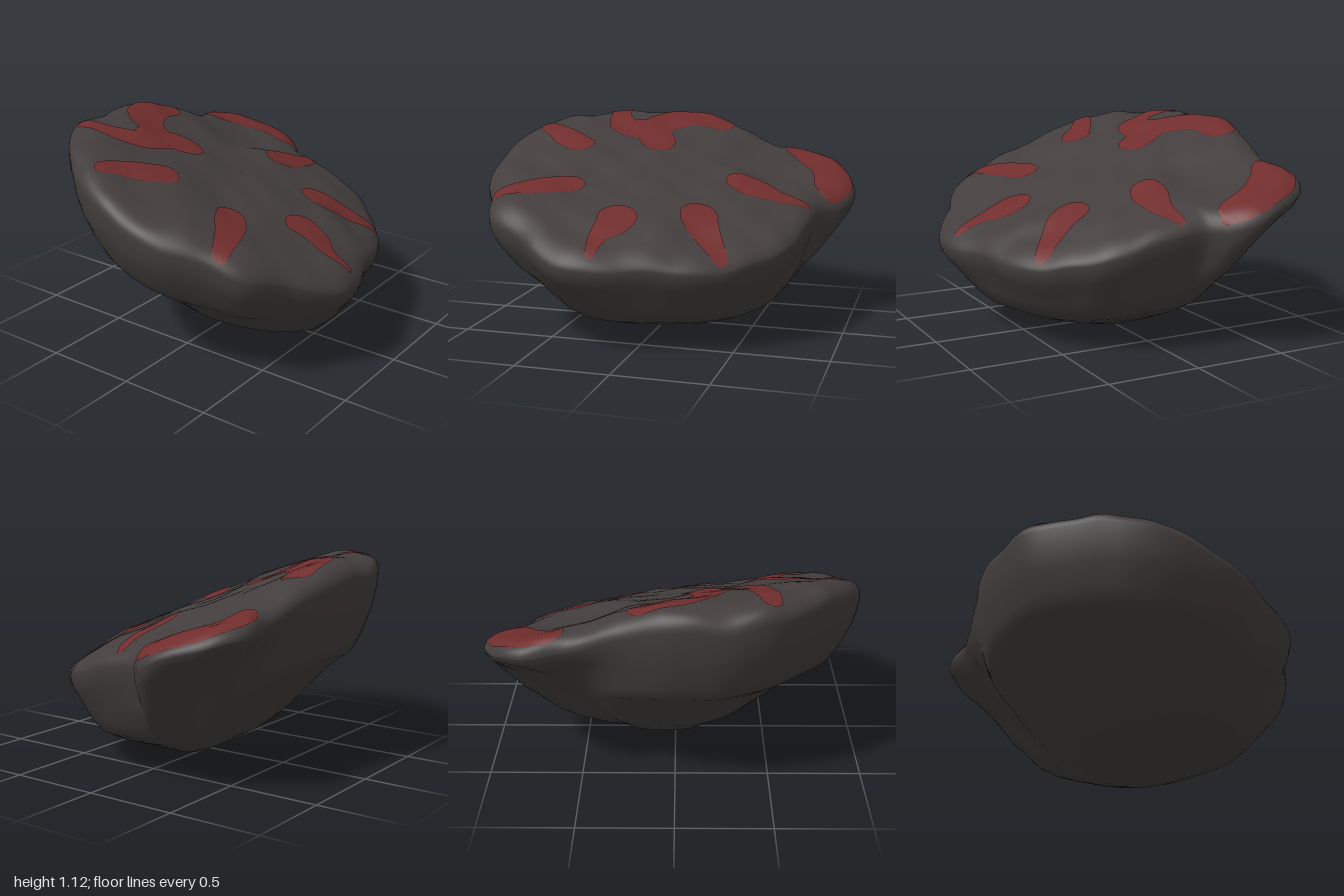
import * as THREE from 'three';

const rockMat = new THREE.MeshStandardMaterial({ color: 0x433e3d });
rockMat.name = 'charcoal stone';
const markMat = new THREE.MeshStandardMaterial({ color: 0x712d2d, side: THREE.DoubleSide });
markMat.name = 'dull red';

// Rim outline seen from above (x, z)
const OUTLINE = [
  [-0.18, -0.86], [0.03, -0.85], [0.23, -0.8], [0.56, -0.74], [0.75, -0.76], [0.88, -0.68], [0.95, -0.56],
  [1, -0.36], [0.94, -0.24], [0.85, -0.16], [0.81, 0.08], [0.74, 0.34], [0.62, 0.48], [0.47, 0.62],
  [0.32, 0.7], [0.05, 0.77], [-0.13, 0.84], [-0.31, 0.855], [-0.47, 0.79], [-0.59, 0.7], [-0.8, 0.59],
  [-0.88, 0.4], [-0.98, 0.2], [-1, -0.02], [-0.97, -0.21], [-0.89, -0.38], [-0.74, -0.57], [-0.51, -0.78], [-0.37, -0.835],
];

// Height samples of the sloping face before its edge is rounded (x, z, y)
const HEIGHTS = [
  [-0.1, 0.4, 0.72], [-0.18, 0.8, 0.54], [0.2, 0.25, 0.73], [0.48, 0.6, 0.51], [0.4, 0, 0.79], [0.78, 0, 0.71],
  [-0.8, 0.47, 0.77], [-0.4, 0.25, 0.78], [-0.6, 0.37, 0.81], [-0.8, -0.25, 1.04], [-0.5, -0.05, 0.95],
  [-0.15, -0.25, 0.96], [-0.45, -0.7, 1.14], [0, -0.7, 1.11], [0.2, -0.68, 1.09], [-0.2, -0.5, 1.07],
  [0, -0.5, 1.03], [0.2, -0.5, 0.98], [0.1, -0.82, 1.09], [-0.3, -0.82, 1.12],
  [0.4, -0.72, 1.0], [0.6, -0.65, 0.89], [0.75, -0.68, 0.9], [0.9, -0.6, 0.89], [0.97, -0.4, 0.82],
  [0.72, -0.42, 0.81], [0.9, -0.25, 0.73], [0.5, -0.4, 0.86], [-0.93, 0.05, 0.92], [0, 0, 0.84], [-0.15, 0.18, 0.81],
];

// Rim radius for 720 directions, from a smooth closed curve
const STEPS = 720, TAU = Math.PI * 2;
const radii = (() => {
  const curve = new THREE.CatmullRomCurve3(OUTLINE.map(([x, z]) => new THREE.Vector3(x, 0, z)), true);
  const polar = curve.getPoints(900).slice(0, -1)
    .map(p => [(Math.atan2(p.z, p.x) + TAU) % TAU, Math.hypot(p.x, p.z)])
    .sort((a, b) => a[0] - b[0]);
  const out = [];
  for (let i = 0, k = 0; i < STEPS; i++) {
    while (k < polar.length - 1 && polar[k][0] < (i / STEPS) * TAU) k++;
    out.push(polar[k][1]);
  }
  return out;
})();

function rimRadius(angle) {
  const t = (((angle + TAU) % TAU) / TAU) * STEPS, i = Math.floor(t);
  return THREE.MathUtils.lerp(radii[i % STEPS], radii[(i + 1) % STEPS], t - i);
}

// Height of the face: tilted plane, local bumps, small ripples and a rounded edge
function faceY(x, z) {
  let sum = 0, weight = 0.04;
  for (const [px, pz, py] of HEIGHTS) {
    const w = Math.exp(-((x - px) ** 2 + (z - pz) ** 2) / 0.035);
    sum += w * (py - (0.85 - 0.15 * px - 0.4 * pz));
    weight += w;
  }
  const ripple = 0.007 * Math.sin(11 * x + 4 * z + 1) * Math.sin(10 * z - 3 * x)
    + 0.005 * Math.sin(19 * x - 8 * z) * Math.cos(17 * z + 5 * x);
  const angle = Math.atan2(z, x), sin = Math.sin(angle);
  const rho = Math.hypot(x, z) / rimRadius(angle);
  const start = 0.82 + 0.04 * sin;
  const t = THREE.MathUtils.clamp((rho - start) / (1 - start), 0, 1);
  const drop = (0.1 - 0.04 * sin - 0.015 * Math.cos(angle)) * (1 - Math.sqrt(1 - t * t));
  return 0.85 - 0.15 * x - 0.4 * z + sum / weight + ripple - drop;
}

function rimY(angle) {
  const r = rimRadius(angle);
  return faceY(r * Math.cos(angle), r * Math.sin(angle));
}

// Average of a rim function over neighbouring directions
function softened(fn, angle) {
  let sum = 0;
  for (let k = -6; k <= 6; k++) sum += fn(angle + k * 0.05);
  return sum / 13;
}

// Builds a surface from a grid of points
function gridGeometry(rows, cols, closed, point) {
  const pos = [], idx = [], n = closed ? cols : cols + 1;
  for (let i = 0; i <= rows; i++) for (let j = 0; j < n; j++) pos.push(...point(i, j));
  for (let i = 0; i < rows; i++) for (let j = 0; j < cols; j++) {
    const a = i * n + j, b = i * n + ((j + 1) % n), c = a + n, d = b + n;
    idx.push(a, b, d, a, d, c);
  }
  const g = new THREE.BufferGeometry();
  g.setAttribute('position', new THREE.Float32BufferAttribute(pos, 3));
  g.setIndex(idx);
  g.computeVertexNormals();
  return g;
}

// Underside: height fraction, then reach from the low point at the front, the back and below the lobe
const UNDER = [
  [0.95, 0.998, 0.998, 0.975], [0.88, 0.985, 0.988, 0.89], [0.8, 0.96, 0.97, 0.79], [0.68, 0.91, 0.925, 0.69],
  [0.6, 0.88, 0.885, 0.63], [0.52, 0.85, 0.77, 0.58], [0.45, 0.82, 0.7, 0.53], [0.34, 0.76, 0.59, 0.45],
  [0.26, 0.63, 0.51, 0.38], [0.16, 0.41, 0.37, 0.27], [0.06, 0.19, 0.16, 0.12], [0, 0, 0, 0],
];

function buildStone() {
  const faceRings = 44, cols = 160;
  const point = (i, j) => {
    const a = (j / cols) * TAU, cos = Math.cos(a), sin = Math.sin(a), R = rimRadius(a);
    if (i <= faceRings) {
      const r = R * (1 - (1 - Math.max(i / faceRings, 0.001)) ** 2);
      return [r * cos, faceY(r * cos, r * sin), r * sin];
    }
    const [f, front, back, lobe] = UNDER[i - faceRings - 1];
    const w = THREE.MathUtils.clamp(0.5 + 0.72 * sin + 0.36 * cos, 0, 1);
    const fromLobe = Math.abs(a - (TAU - 0.75));
    const s = THREE.MathUtils.lerp(THREE.MathUtils.lerp(back, front, w), lobe, Math.exp(-((fromLobe / 0.35) ** 2)));
    // the lumps of the rim fade out towards the base
    const keep = THREE.MathUtils.smoothstep(f, 0.25, 0.9);
    const r = THREE.MathUtils.lerp(softened(rimRadius, a), R, keep);
    const y = f * THREE.MathUtils.lerp(softened(rimY, a), rimY(a), keep);
    return [0.12 * (1 - s) + r * cos * s, y, r * sin * s];
  };
  return new THREE.Mesh(gridGeometry(faceRings + UNDER.length, cols, true, point), rockMat);
}

// Red streaks: points along the middle (x, z, half width)
const MARKS = {
  leftBackMark: [[-0.85, -0.29, 0.04], [-0.72, -0.22, 0.065], [-0.6, -0.13, 0.085], [-0.47, -0.06, 0.08]],
  leftFrontMark: [[-0.85, 0.48, 0.035], [-0.66, 0.4, 0.065], [-0.53, 0.32, 0.08], [-0.4, 0.23, 0.06]],
  frontMark: [[-0.17, 0.82, 0.02], [-0.17, 0.67, 0.05], [-0.13, 0.55, 0.095], [-0.12, 0.4, 0.115]],
  rightFrontMark: [[0.47, 0.61, 0.035], [0.36, 0.48, 0.07], [0.28, 0.36, 0.1], [0.27, 0.24, 0.09]],
  rightMark: [[0.33, -0.03, 0.06], [0.48, -0.02, 0.09], [0.64, 0, 0.055], [0.8, -0.03, 0.02]],
  backMark: [[-0.48, -0.75, 0.045], [-0.44, -0.53, 0.065], [-0.36, -0.39, 0.09], [-0.2, -0.38, 0.11], [-0.09, -0.19, 0.09]],
  backHookMark: [[-0.2, -0.33, 0.08], [-0.16, -0.52, 0.095], [-0.03, -0.64, 0.105], [0.24, -0.67, 0.09]],
  lobeMark: [[0.55, -0.67, 0.06], [0.73, -0.61, 0.12], [0.86, -0.45, 0.12], [0.87, -0.2, 0.08]],
};

function buildMark(points) {
  const rows = 48, cols = 10;
  const curve = new THREE.CatmullRomCurve3(points.map(([x, z, w]) => new THREE.Vector3(x, w, z)));
  const len = curve.getLength();
  const point = (i, j) => {
    const t = i / rows, p = curve.getPointAt(t), d = curve.getTangentAt(t);
    const k = Math.min(1, (Math.min(t, 1 - t) * len) / p.y);
    const half = p.y * Math.sqrt(1 - (1 - k) ** 2);
    const u = (1 - (2 * j) / cols) * half / Math.hypot(d.x, d.z);
    let x = p.x + d.z * u, z = p.z - d.x * u;
    const limit = (0.985 * rimRadius(Math.atan2(z, x))) / Math.hypot(x, z);
    if (limit < 1) { x *= limit; z *= limit; }
    return [x, faceY(x, z) + 0.006, z];
  };
  return new THREE.Mesh(gridGeometry(rows, cols, false, point), markMat);
}

export function createModel() {
  const group = new THREE.Group();
  group.name = 'markedStone';
  const stone = buildStone();
  stone.name = 'stone';
  group.add(stone);
  for (const [name, points] of Object.entries(MARKS)) {
    const mark = buildMark(points);
    mark.name = name;
    group.add(mark);
  }
  return group;
}
